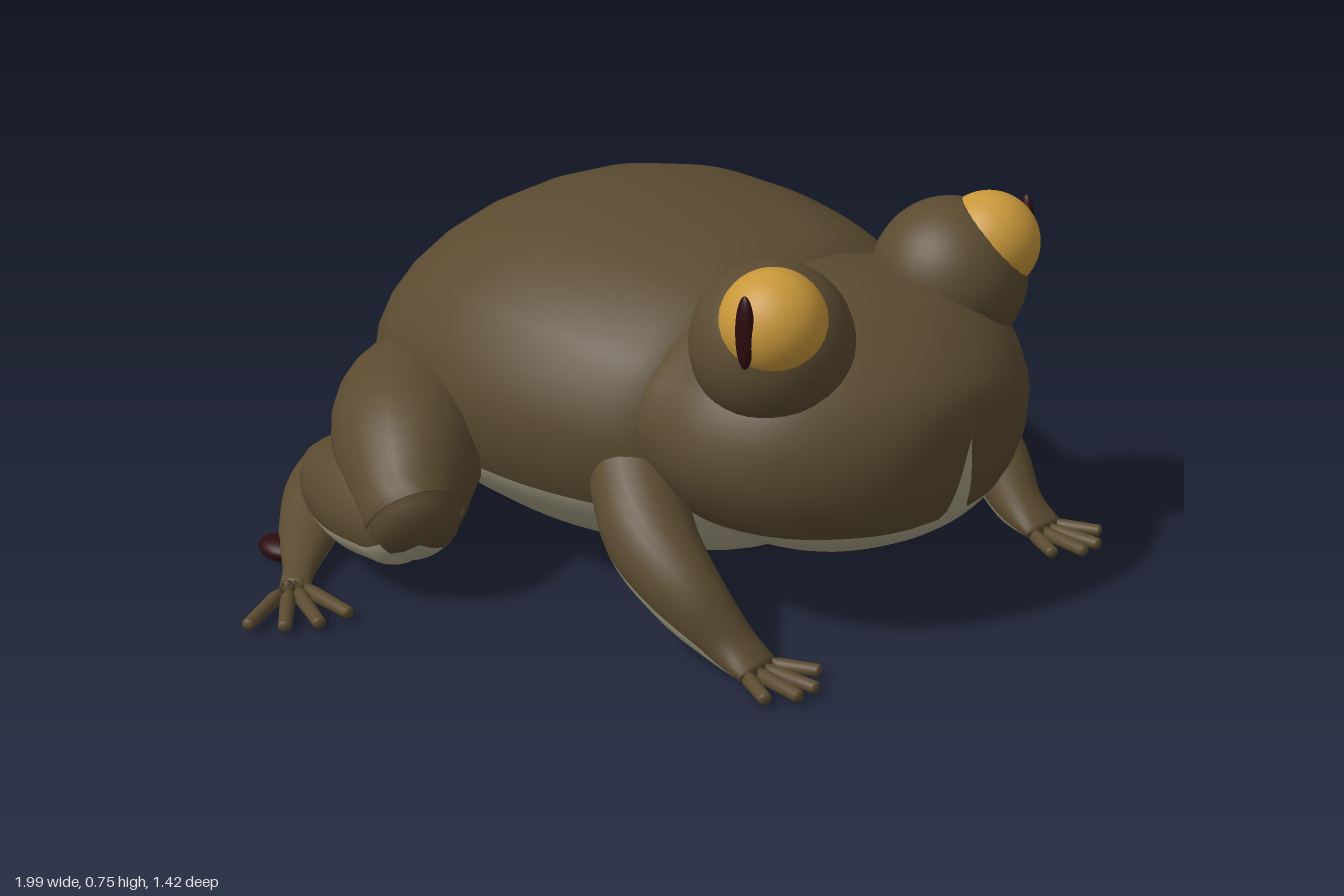
import * as THREE from 'three';

const paint = (name, color) => Object.assign(new THREE.MeshStandardMaterial({ color }), { name });
const V = (x, y, z) => new THREE.Vector3(x, y, z);
const HALF = 16; // columns in the upper (back) and in the lower (belly) half of a skin

// Angles around a ring: the upper half starts at a0, the lower half closes the loop.
function ringAngles(a0) {
  const out = [];
  for (let j = 0; j < HALF; j++) out.push(a0 + (Math.PI - 2 * a0) * j / HALF);
  for (let j = 0; j < HALF; j++) out.push(Math.PI - a0 + (Math.PI + 2 * a0) * j / HALF);
  return out;
}

// Smooth skin over rings of points; group 0 is the upper half, group 1 the lower half.
function skin(name, rings, materials) {
  const n = HALF * 2, index = [];
  const quad = (i, j) => {
    const k = (j + 1) % n, a = i * n + j, b = i * n + k;
    index.push(a, b, a + n, b, b + n, a + n);
  };
  for (const start of [0, HALF])
    for (let i = 0; i < rings.length - 1; i++)
      for (let j = start; j < start + HALF; j++) quad(i, j);
  const geo = new THREE.BufferGeometry().setFromPoints(rings.flat());
  geo.setIndex(index);
  geo.addGroup(0, index.length / 2, 0);
  geo.addGroup(index.length / 2, index.length / 2, 1);
  geo.computeVertexNormals();
  const mesh = new THREE.Mesh(geo, materials);
  mesh.name = name;
  return mesh;
}

const spline = pts => new THREE.CatmullRomCurve3(pts, false, 'catmullrom', 0.5);

// Trunk from stations [z, half width, top, bottom], rear to front; pale below the height seam(z).
function trunk(name, stations, seam, materials) {
  const outline = spline(stations.map(s => V(s[0], s[2], s[3])));
  const width = spline(stations.map(s => V(s[1], 0, 0)));
  const rings = [], steps = (stations.length - 1) * 5;
  for (let i = 0; i <= steps; i++) {
    const o = outline.getPoint(i / steps), w = Math.max(0, width.getPoint(i / steps).x);
    const cy = (o.y + o.z) / 2, ry = Math.max(0.0005, (o.y - o.z) / 2);
    const a0 = Math.asin(THREE.MathUtils.clamp((seam(o.x) - cy) / ry, -0.99, 0.99));
    rings.push(ringAngles(a0).map(a => V(
      w * Math.sign(Math.cos(a)) * Math.abs(Math.cos(a)) ** 0.92, cy + ry * Math.sin(a), o.x)));
  }
  return skin(name, rings, materials);
}

// Limb from stations [x, y, z, radius across, radius up] with rounded ends.
function limb(name, stations, side, a0, materials, per = 5) {
  const path = spline(stations.map(s => V(s[0] * side, s[1], s[2])));
  const size = spline(stations.map(s => V(s[3], s[4], 0)));
  const rings = [], steps = (stations.length - 1) * per, angles = ringAngles(a0);
  const ring = (t, shift, scale) => {
    const d = path.getTangent(t), r = size.getPoint(t);
    const across = V(0, 1, 0).cross(d).normalize(), up = d.clone().cross(across);
    const c = path.getPoint(t).addScaledVector(d, shift * Math.min(r.x, r.y));
    rings.push(angles.map(a => c.clone()
      .addScaledVector(across, r.x * scale * Math.cos(a))
      .addScaledVector(up, r.y * scale * Math.sin(a))));
  };
  const caps = [1, 0.75, 0.5, 0.25].map(k => k * Math.PI / 2);
  for (const p of caps) ring(0, -0.6 * Math.sin(p), Math.cos(p));
  for (let i = 0; i <= steps; i++) ring(i / steps, 0, 1);
  for (const p of caps.reverse()) ring(1, 0.6 * Math.sin(p), Math.cos(p));
  return skin(name, rings, materials);
}

function ball(name, material, [x, y, z], [rx, ry, rz]) {
  const mesh = new THREE.Mesh(new THREE.SphereGeometry(1, 32, 22), material);
  mesh.name = name;
  mesh.position.set(x, y, z);
  mesh.scale.set(rx, ry, rz);
  return mesh;
}

export function createModel() {
  const brown = paint('brown skin', 0x5a4a30), pale = paint('pale belly', 0xa8a186);
  const gold = paint('golden eye', 0xc8973a), maroon = paint('dark maroon', 0x2c0a0e);
  const hide = [brown, pale], plain = [brown, brown];
  const model = new THREE.Group();
  model.name = 'toad';

  // Rounded body with a pale belly
  model.add(trunk('body', [
    [-0.71, 0, 0.31, 0.30], [-0.70, 0.14, 0.40, 0.20], [-0.66, 0.27, 0.475, 0.135],
    [-0.60, 0.37, 0.545, 0.095], [-0.5, 0.45, 0.62, 0.06], [-0.38, 0.49, 0.675, 0.035],
    [-0.2, 0.52, 0.708, 0.02], [0, 0.51, 0.70, 0.025], [0.2, 0.45, 0.665, 0.05],
    [0.3, 0.36, 0.60, 0.085], [0.4, 0.2, 0.5, 0.16], [0.43, 0, 0.34, 0.33],
  ], z => 0.24 + Math.min(0, z + 0.2) * 0.08, hide));

  // Broad head with a pale chin
  model.add(trunk('head', [
    [0.06, 0, 0.41, 0.40], [0.1, 0.28, 0.55, 0.26], [0.2, 0.40, 0.625, 0.19],
    [0.3, 0.42, 0.645, 0.15], [0.4, 0.42, 0.65, 0.14], [0.5, 0.385, 0.635, 0.148],
    [0.58, 0.325, 0.60, 0.175], [0.65, 0.235, 0.55, 0.22], [0.69, 0.135, 0.50, 0.30],
    [0.708, 0, 0.425, 0.42],
  ], () => 0.25, hide));

  for (const s of [1, -1]) {
    const word = s > 0 ? 'left' : 'right';

    // Eye mound, eyeball and upright pupil
    const eye = new THREE.Group();
    eye.name = word + 'Eye';
    eye.add(ball('eyeMound', brown, [0.25 * s, 0.6, 0.43], [0.155, 0.157, 0.155]));
    eye.add(ball('eyeball', gold, [0.303 * s, 0.67, 0.483], [0.101, 0.101, 0.101]));
    eye.add(ball('pupil', maroon, [0.394 * s, 0.68, 0.5], [0.014, 0.07, 0.02]));
    model.add(eye);

    // Front leg with four splayed toes
    const front = new THREE.Group();
    front.name = word + 'FrontLeg';
    front.add(limb('foreLimb', [
      [0.37, 0.31, 0.18, 0.09, 0.09], [0.43, 0.22, 0.29, 0.088, 0.088],
      [0.445, 0.145, 0.40, 0.07, 0.075], [0.425, 0.07, 0.49, 0.052, 0.05],
      [0.42, 0.038, 0.56, 0.05, 0.022],
    ], s, -0.35, hide));
    for (const [x, z] of [[0.345, 0.645], [0.395, 0.685], [0.44, 0.685], [0.49, 0.65]])
      front.add(limb('frontToe', [
        [0.42 + (x - 0.42) * 0.35, 0.035, 0.55, 0.016, 0.014], [x, 0.037, z, 0.013, 0.012],
      ], s, 0, plain, 2));
    model.add(front);

    // Folded hind leg: thigh, shin, long foot, toes and heel spur
    const hind = new THREE.Group();
    hind.name = word + 'HindLeg';
    hind.add(limb('thigh', [
      [0.33, 0.24, -0.50, 0.14, 0.15], [0.46, 0.265, -0.37, 0.165, 0.165],
      [0.57, 0.26, -0.25, 0.15, 0.16], [0.655, 0.21, -0.145, 0.11, 0.12],
      [0.672, 0.19, -0.115, 0.09, 0.105],
    ], s, -0.6, hide));
    hind.add(limb('shin', [
      [0.68, 0.18, -0.16, 0.085, 0.09], [0.64, 0.17, -0.30, 0.105, 0.11],
      [0.56, 0.13, -0.47, 0.10, 0.095], [0.47, 0.09, -0.61, 0.065, 0.06],
    ], s, -0.4, hide));
    hind.add(limb('foot', [
      [0.475, 0.08, -0.64, 0.06, 0.055], [0.58, 0.08, -0.54, 0.075, 0.06],
      [0.69, 0.06, -0.44, 0.06, 0.042], [0.78, 0.045, -0.35, 0.034, 0.025],
      [0.825, 0.04, -0.305, 0.03, 0.018],
    ], s, -0.2, hide));
    for (const [x, z] of [[0.985, -0.24], [0.94, -0.185], [0.885, -0.15], [0.82, -0.145]])
      hind.add(limb('hindToe', [
        [0.82 + (x - 0.82) * 0.12, 0.04, -0.31, 0.017, 0.015], [x, 0.038, z, 0.013, 0.012],
      ], s, 0, plain, 2));
    hind.add(ball('spur', maroon, [0.75 * s, 0.043, -0.455], [0.037, 0.023, 0.053]));
    model.add(hind);
  }
  return model;
}
